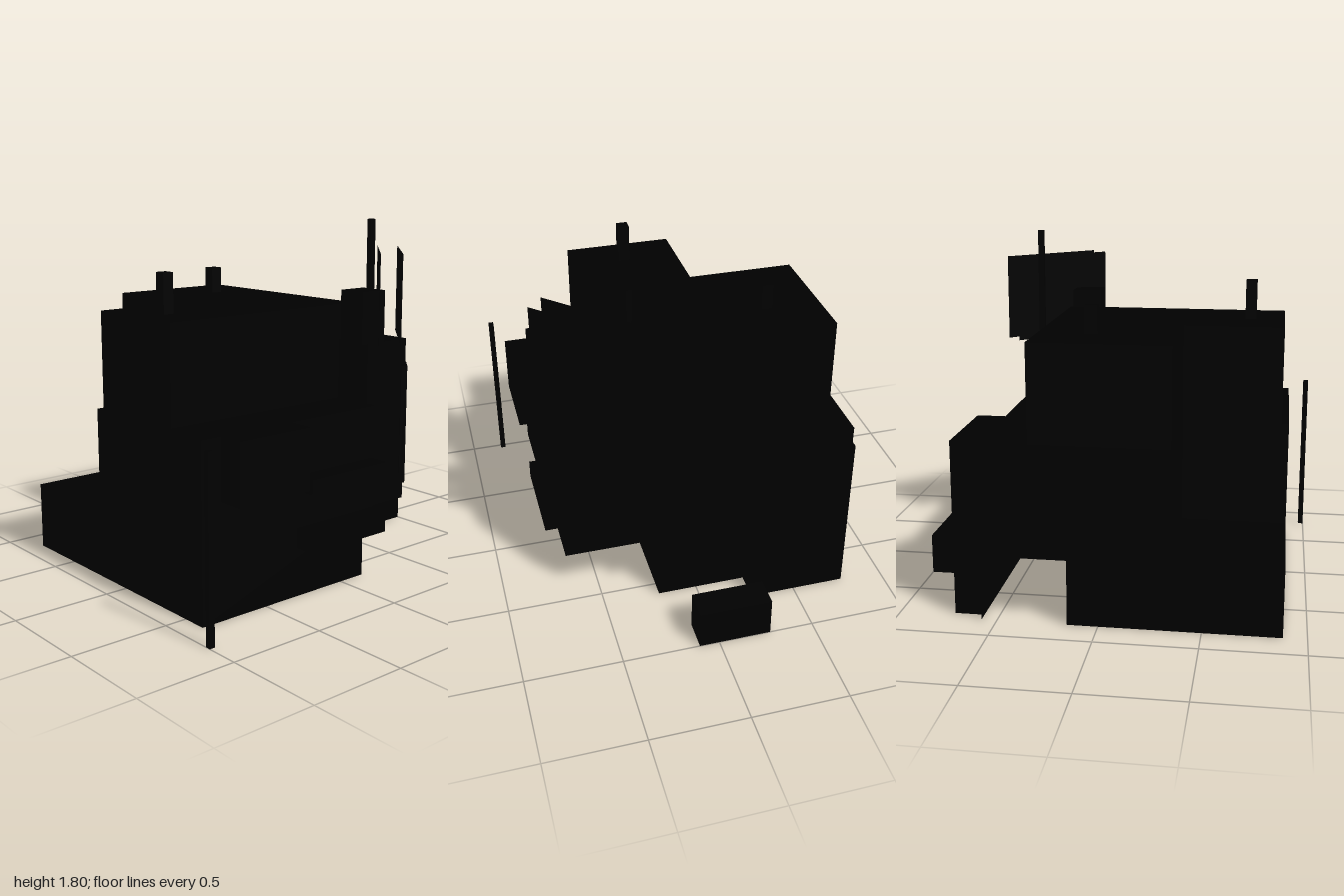
import * as THREE from 'three';

export function createModel() {
  const model = new THREE.Group();
  const black = new THREE.MeshStandardMaterial({ color: 0x000000, side: THREE.DoubleSide });
  black.name = 'black';

  function add(name, geometry) {
    const mesh = new THREE.Mesh(geometry, black);
    mesh.name = name;
    model.add(mesh);
    return mesh;
  }

  // Box given by its limits on each axis
  function box(name, x0, x1, y0, y1, z0, z1) {
    const mesh = add(name, new THREE.BoxGeometry(x1 - x0, y1 - y0, z1 - z0));
    mesh.position.set((x0 + x1) / 2, (y0 + y1) / 2, (z0 + z1) / 2);
    return mesh;
  }

  // Box standing on the ground, hollow and open underneath
  function openBox(name, x0, x1, height, z0, z1) {
    const { geometry } = box(name, x0, x1, 0, height, z0, z1);
    const faces = Array.from(geometry.index.array);
    faces.splice(18, 6);
    geometry.setIndex(faces);
  }

  // Storey raised from a floor plan of [x, z] corners
  function storey(name, plan, y0, y1) {
    const shape = new THREE.Shape(plan.map(([x, z]) => new THREE.Vector2(x, -z)));
    const geometry = new THREE.ExtrudeGeometry(shape, { depth: y1 - y0, bevelEnabled: false });
    geometry.rotateX(-Math.PI / 2);
    add(name, geometry).position.y = y0;
  }

  // Upright panel whose front spans two [x, z] ends; depth goes backwards
  function panel(name, [xa, za], [xb, zb], y0, y1, depth = 0) {
    const width = Math.hypot(xb - xa, zb - za);
    const geometry = depth
      ? new THREE.BoxGeometry(width, y1 - y0, depth).translate(0, 0, -depth / 2)
      : new THREE.PlaneGeometry(width, y1 - y0);
    const mesh = add(name, geometry);
    mesh.position.set((xa + xb) / 2, (y0 + y1) / 2, (za + zb) / 2);
    mesh.rotation.y = Math.atan2(za - zb, xb - xa);
  }

  // Ground floor
  openBox('groundFloor', -0.885, 0.152, 0.355, -0.832, 0.63);

  // Recessed open bay under the overhang
  panel('bayFrontWall', [0.152, 0.205], [0.577, 0.205], 0, 0.33);
  panel('baySideWall', [0.577, 0.205], [0.577, -0.832], 0, 0.33);
  storey('overhang', [
    [0.152, 0.63], [0.228, 0.63], [0.228, 0.28],
    [0.577, 0.28], [0.577, -0.832], [0.152, -0.832],
  ], 0.33, 0.355);

  // Middle and upper storeys, both stepped in at the back corner
  storey('middleStorey', [
    [-0.885, 0.63], [0.228, 0.63], [0.228, 0.28], [0.577, 0.28],
    [0.577, -0.832], [-0.345, -0.832], [-0.345, -0.22], [-0.885, -0.22],
  ], 0.355, 0.886);
  storey('upperStorey', [
    [-0.848, 0.36], [0.342, 0.36], [0.342, -0.792],
    [-0.345, -0.792], [-0.345, -0.22], [-0.848, -0.22],
  ], 0.886, 1.377);

  // Corner tower and its supports
  box('cornerTower', 0.228, 0.514, 0.33, 1.195, 0.28, 0.568);
  box('cornerBlock', 0.182, 0.34, 1.195, 1.46, 0.42, 0.575);
  box('antenna', 0.483, 0.513, 1.195, 1.803, 0.304, 0.334);

  // Diagonal boards on the corner
  panel('signBack', [0.198, 0.675], [0.618, 0.252], 1.195, 1.655);
  panel('signFront', [0.277, 0.75], [0.693, 0.327], 1.195, 1.655);
  panel('cornerBanner', [0.473, 0.62], [0.562, 0.53], 0.43, 1.06, 0.03);

  // Front balcony and ledges
  box('balcony', -0.77, -0.345, 0.578, 0.886, 0.63, 0.768);
  box('lowerLedge', -0.3, 0.205, 0.25, 0.35, 0.63, 0.738);
  box('upperLedge', -0.3, 0.205, 0.54, 0.615, 0.63, 0.732);

  // Side annex, crate and street post
  openBox('sideAnnex', 0.58, 0.725, 0.886, -0.775, -0.265);
  openBox('crate', 0.847, 1, 0.21, -0.272, 0.103);
  box('streetPost', -1, -0.972, 0, 0.893, 0.805, 0.832);

  // Chimneys
  box('chimneyTall', -0.7, -0.643, 1.377, 1.578, 0.047, 0.107);
  box('chimneyShort', 0.045, 0.108, 1.377, 1.516, -0.531, -0.47);

  return model;
}
